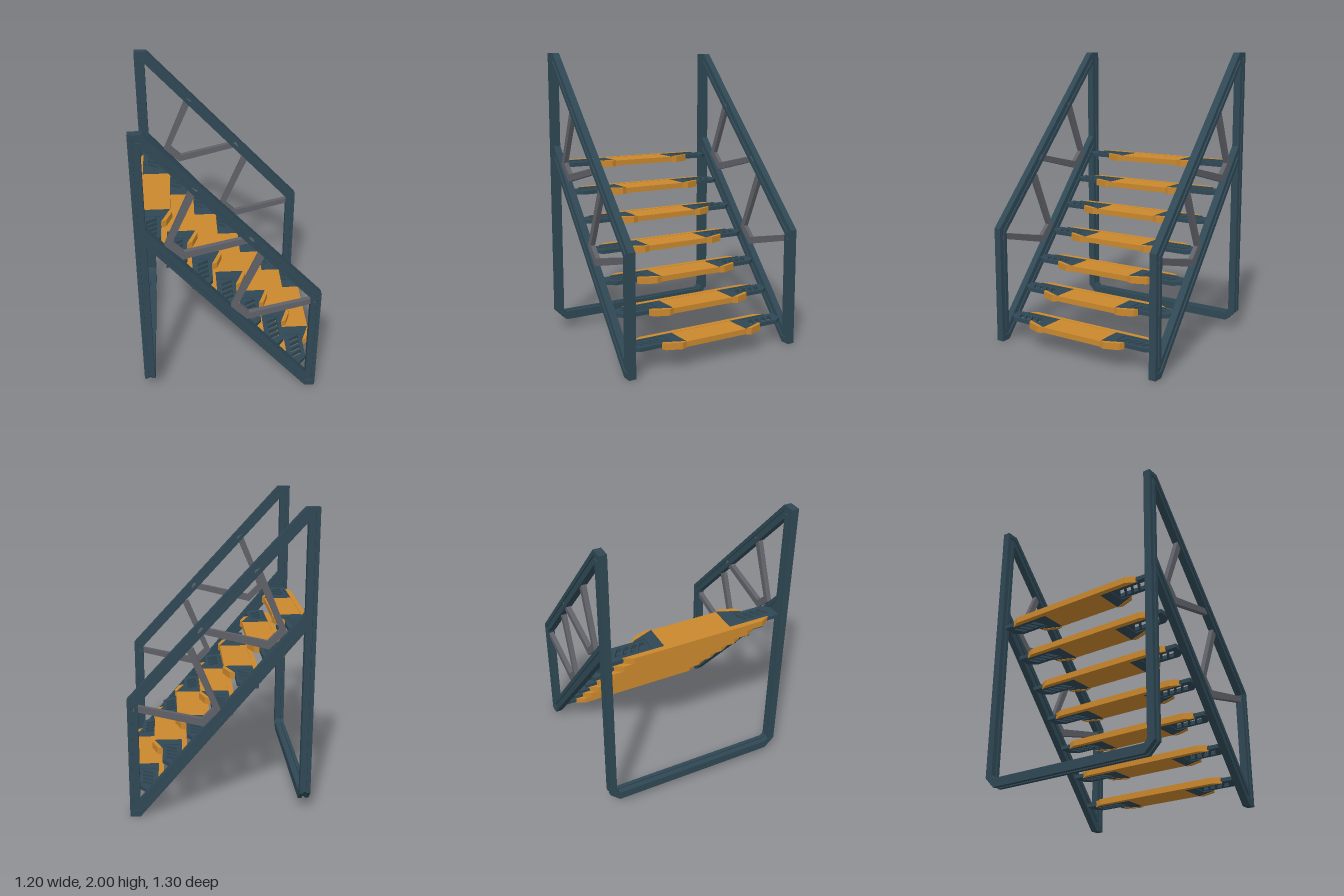
import * as THREE from 'three';

const mat = (name, color) => Object.assign(new THREE.MeshStandardMaterial({ color }), { name });

// Loft along stations [outerA, outerB, innerA, innerB]; section points are [s, w]:
// s runs from outer (0) to inner (1), w is the sideways offset.
function loft(stations, section, place) {
  const rings = stations.map(([oa, ob, ia, ib]) =>
    section.map(([s, w]) => place(oa + (ia - oa) * s, ob + (ib - ob) * s, w)));
  const n = section.length, tris = [];
  for (let i = 0; i < rings.length - 1; i++) {
    for (let j = 0; j < n; j++) {
      const k = (j + 1) % n;
      const a = rings[i][j], b = rings[i][k], c = rings[i + 1][k], d = rings[i + 1][j];
      tris.push([a, b, c], [a, c, d]);
    }
  }
  const caps = THREE.ShapeUtils.triangulateShape(section.map(p => new THREE.Vector2(...p)), []);
  const last = rings[rings.length - 1];
  for (const [a, b, c] of caps) {
    tris.push([rings[0][a], rings[0][c], rings[0][b]], [last[a], last[b], last[c]]);
  }
  // turn the surface outward if the signed volume is negative
  const volume = tris.reduce((v, [a, b, c]) => v + a.dot(b.clone().cross(c)), 0);
  const points = tris.flatMap(([a, b, c]) => (volume < 0 ? [a, c, b] : [a, b, c]));
  const geo = new THREE.BufferGeometry().setFromPoints(points);
  geo.computeVertexNormals();
  return geo;
}

// Flat plate with an outline in x and z, centred on height 0
function plate(points, thickness, holes = []) {
  const toVectors = list => list.map(p => new THREE.Vector2(...p));
  const shape = new THREE.Shape(toVectors(points));
  shape.holes = holes.map(h => new THREE.Path(toVectors(h)));
  const geo = new THREE.ExtrudeGeometry(shape, { depth: thickness, bevelEnabled: false });
  return geo.rotateX(Math.PI / 2).translate(0, thickness / 2, 0);
}

export function createModel() {
  const group = new THREE.Group();
  group.name = 'staircase';
  const steel = mat('darkSteel', 0x2f4855);
  const orange = mat('orangeTread', 0xcb882d);
  const grey = mat('greyBrace', 0x606168);
  const add = (parent, name, geo, material) => {
    const mesh = new THREE.Mesh(geo, material);
    mesh.name = name;
    parent.add(mesh);
  };

  // Sections: groove on the side faces, groove on the outer and inner faces, plain bar
  const g0 = 0.36, g1 = 0.64, deep = 0.015, half = 0.025;
  const sideGroove = [[0, -half], [g0, -half], [g0, -deep], [g1, -deep], [g1, -half], [1, -half],
    [1, half], [g1, half], [g1, deep], [g0, deep], [g0, half], [0, half]];
  const edgeGroove = [[0, -0.035], [0, -0.01], [0.2, -0.01], [0.2, 0.01], [0, 0.01], [0, 0.035],
    [1, 0.035], [1, 0.01], [0.8, 0.01], [0.8, -0.01], [1, -0.01], [1, -0.035]];
  const bar = [[0, -0.016], [1, -0.016], [1, 0.016], [0, 0.016]];

  // Side frame from back post over handrail and front post to the stringer
  const framePath = [
    [-0.6, 0.15, -0.53, 0.15],
    [-0.6, 2, -0.53, 1.915],
    [-0.515, 2, -0.53, 1.915],
    [0.58, 0.808, 0.512, 0.778],
    [0.58, 0, 0.512, 0.115],
    [0.512, 0, 0.512, 0.115],
    [-0.54, 1.245, -0.54, 1.365],
  ];
  const bracePath = [
    [-0.25, 1.645, -0.21, 1.622],
    [-0.42, 1.235, -0.373, 1.25],
    [-0.31, 1.125, -0.3, 1.178],
    [0.135, 1.238, 0.12, 1.275],
  ];
  for (const side of [1, -1]) {
    const inSide = (x, y, w) => new THREE.Vector3(x, y, side * 0.625 + w);
    const name = side > 0 ? 'front' : 'back';
    add(group, name + 'SideFrame', loft(framePath, sideGroove, inSide), steel);
    for (const k of [0, 1]) {
      const path = bracePath.map(([a, b, c, d]) =>
        [a + 0.41 * k, b - 0.505 * k, c + 0.41 * k, d - 0.505 * k]);
      add(group, name + 'Brace' + (k + 1), loft(path, bar, inSide), grey);
    }
  }

  // Floor bar joining the back posts, with chamfered corners
  const corner = [[0.65, 0.15, 0.6, 0.15], [0.65, 0.135, 0.6, 0.148], [0.58, 0.065, 0.58, 0.125]];
  const floorPath = [...corner,
    ...corner.map(([a, b, c, d]) => [-a, b, -c, d]).reverse()];
  add(group, 'floorBar',
    loft(floorPath, edgeGroove, (z, y, w) => new THREE.Vector3(-0.565 + w, y, z)), steel);

  // Tread parts; x is measured from the front edge of the tread
  const flip = (points, s) => points.map(([x, z]) => [x, z * s]);
  const slots = [0, 1, 2, 3].map(k => [[-0.155, 0.553], [-0.155, 0.518], [-0.085, 0.478], [-0.085, 0.513]]
    .map(([x, z]) => [x, z - 0.052 * k]));
  const board = plate([[-0.19, -0.235], [0, -0.235], [0, 0.235], [-0.19, 0.235]], 0.037);
  const backEdge = plate([[-0.225, -0.455], [-0.19, -0.52], [-0.19, 0.52], [-0.225, 0.455]], 0.042);
  const ends = [1, -1].map(s => ({
    slotted: plate(flip([[-0.195, 0.595], [-0.105, 0.595], [-0.06, 0.54], [-0.06, 0.3], [-0.19, 0.3]], s),
      0.026, slots.map(h => flip(h, s))),
    shoulder: plate(flip([[-0.19, 0.235], [0, 0.235], [-0.06, 0.385], [-0.068, 0.385],
      [-0.068, 0.315], [-0.175, 0.315], [-0.175, 0.52], [-0.19, 0.52]], s), 0.04),
    nose: plate(flip([[-0.06, 0.385], [-0.025, 0.37], [0.012, 0.27], [0, 0.235]], s), 0.045),
  }));

  for (let i = 0; i < 7; i++) {
    const tread = new THREE.Group();
    tread.name = 'tread' + (i + 1);
    tread.position.set(0.585 - 0.161 * i, 0.16 + 0.1768 * i, 0);
    add(tread, 'treadBoard', board, orange);
    add(tread, 'treadBackEdge', backEdge, orange);
    for (const end of ends) {
      add(tread, 'slottedEnd', end.slotted, steel);
      add(tread, 'endShoulder', end.shoulder, steel);
      add(tread, 'treadNose', end.nose, orange);
    }
    group.add(tread);
  }
  return group;
}
